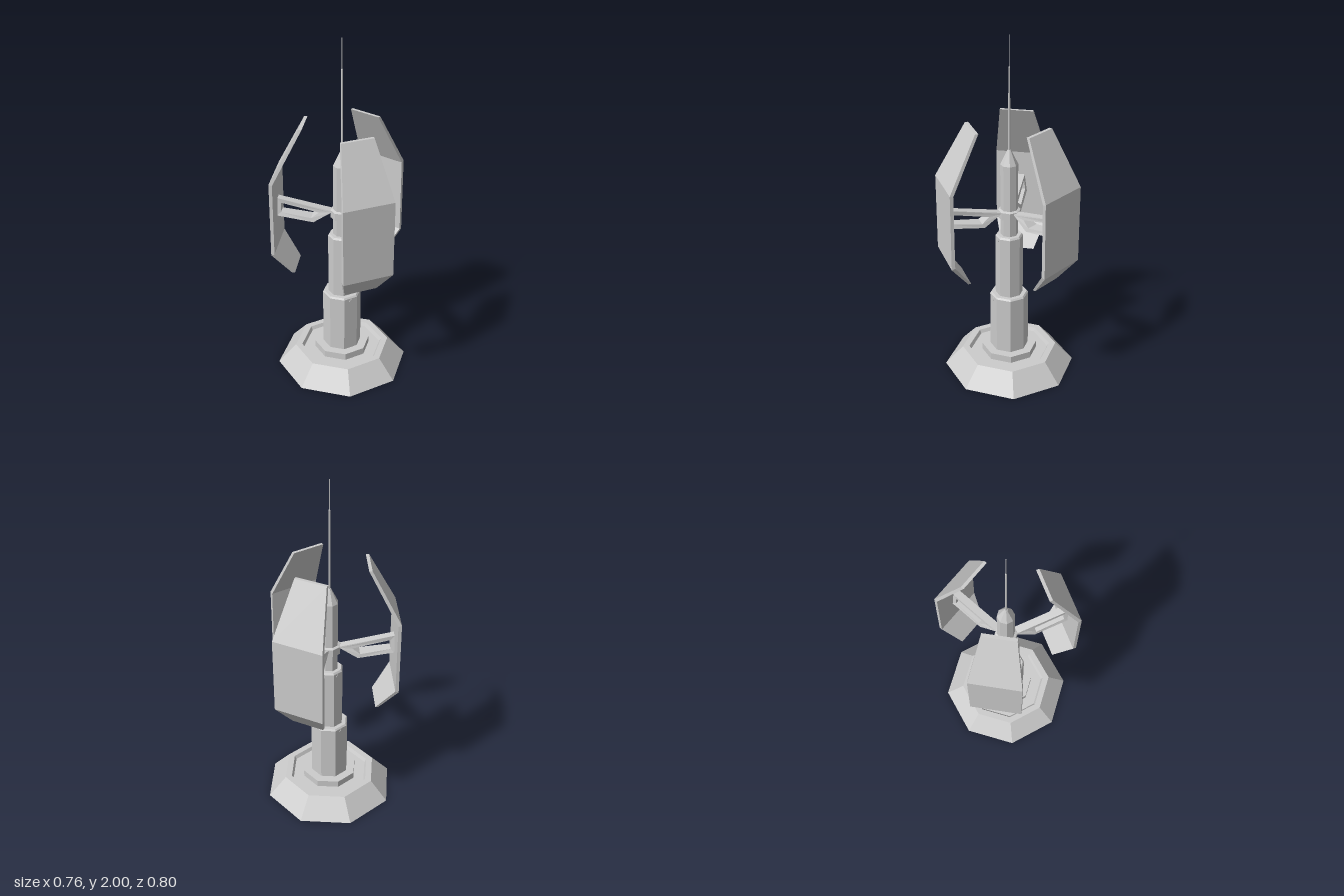
import * as THREE from 'three';

const material = new THREE.MeshStandardMaterial({ color: 0xcccccc, flatShading: true });

function add(parent, name, geometry) {
  const mesh = new THREE.Mesh(geometry, material);
  mesh.name = name;
  parent.add(mesh);
  return mesh;
}

// Eight-sided solid of revolution from [radius, height] pairs, bottom to top
function turned(points, sides = 8) {
  return new THREE.LatheGeometry(points.map(([r, y]) => new THREE.Vector2(r, y)), sides);
}

// Side profile extruded across z, with a half width that depends on height
function slab(outline, halfWidth, hole) {
  const toPoints = (list) => list.map(([x, y]) => new THREE.Vector2(x, y));
  const shape = new THREE.Shape(toPoints(outline));
  if (hole) shape.holes.push(new THREE.Path(toPoints(hole)));
  const geometry = new THREE.ExtrudeGeometry(shape, { depth: 2, bevelEnabled: false });
  geometry.translate(0, 0, -1);
  const pos = geometry.attributes.position;
  for (let i = 0; i < pos.count; i++) pos.setZ(i, pos.getZ(i) * halfWidth(pos.getY(i)));
  geometry.computeVertexNormals();
  return geometry;
}

const { clamp, mapLinear } = THREE.MathUtils;

function panelHalfWidth(y) {
  if (y > 1.21) return mapLinear(y, 1.21, 1.52, 0.147, 0.093);
  if (y < 0.775) return mapLinear(y, 0.635, 0.775, 0.095, 0.147);
  return 0.147;
}

// Arms are narrow on top and wider underneath
const armHalfWidth = (y) => clamp(mapLinear(y, 0.95, 1.005, 0.04, 0.021), 0.021, 0.04);

export function createModel() {
  const model = new THREE.Group();
  model.name = 'antennaTower';

  // Sloped base with a shallow recess inside its rim
  add(model, 'base', turned([
    [0, 0], [0.378, 0], [0.275, 0.115], [0.237, 0.115], [0.226, 0.095], [0, 0.095],
  ]));
  add(model, 'footRing', turned([[0.16, 0.09], [0.16, 0.135], [0, 0.135]]));

  // Telescoping column
  add(model, 'lowerColumn', turned([[0.11, 0.13], [0.11, 0.478], [0.102, 0.487], [0, 0.487]]));
  add(model, 'upperColumn', turned([[0.078, 0.48], [0.078, 0.852], [0.07, 0.862], [0, 0.862]]));
  add(model, 'mast', turned([[0.049, 0.85], [0.049, 1.285], [0.009, 1.37], [0, 1.37]]));
  add(model, 'mastCollar', turned([
    [0.049, 0.962], [0.064, 0.968], [0.064, 1.012], [0.049, 1.018],
  ]));
  add(model, 'needle', turned([[0.006, 1.36], [0.005, 1.83], [0.002, 1.835], [0.002, 2], [0, 2]], 6));

  // Locking pins through the column faces
  for (const [radius, y] of [[0.11, 0.46], [0.078, 0.835]]) {
    const length = 2 * radius * Math.cos(Math.PI / 8) + 0.006;
    const pin = new THREE.CylinderGeometry(0.011, 0.011, length, 8);
    pin.rotateX(Math.PI / 2).rotateY(-Math.PI / 8).translate(0, y, 0);
    add(model, 'lockingPin', pin);
  }

  // Three folded panels, each on an open bracket arm
  const panel = slab([
    [0.255, 0.635], [0.272, 0.635], [0.377, 0.77], [0.377, 1.212], [0.218, 1.52],
    [0.2, 1.52], [0.358, 1.206], [0.358, 0.778],
  ], panelHalfWidth);
  const arm = slab(
    [[0.055, 1.0], [0.155, 0.94], [0.36, 0.965], [0.36, 1.068], [0.055, 1.008]],
    armHalfWidth,
    [[0.125, 0.995], [0.338, 1.04], [0.338, 0.985], [0.168, 0.963]],
  );
  for (let i = 0; i < 3; i++) {
    const wing = new THREE.Group();
    wing.name = 'panelAssembly';
    add(wing, 'panel', panel);
    add(wing, 'bracketArm', arm);
    wing.rotation.y = (i * Math.PI * 2) / 3;
    model.add(wing);
  }

  return model;
}
